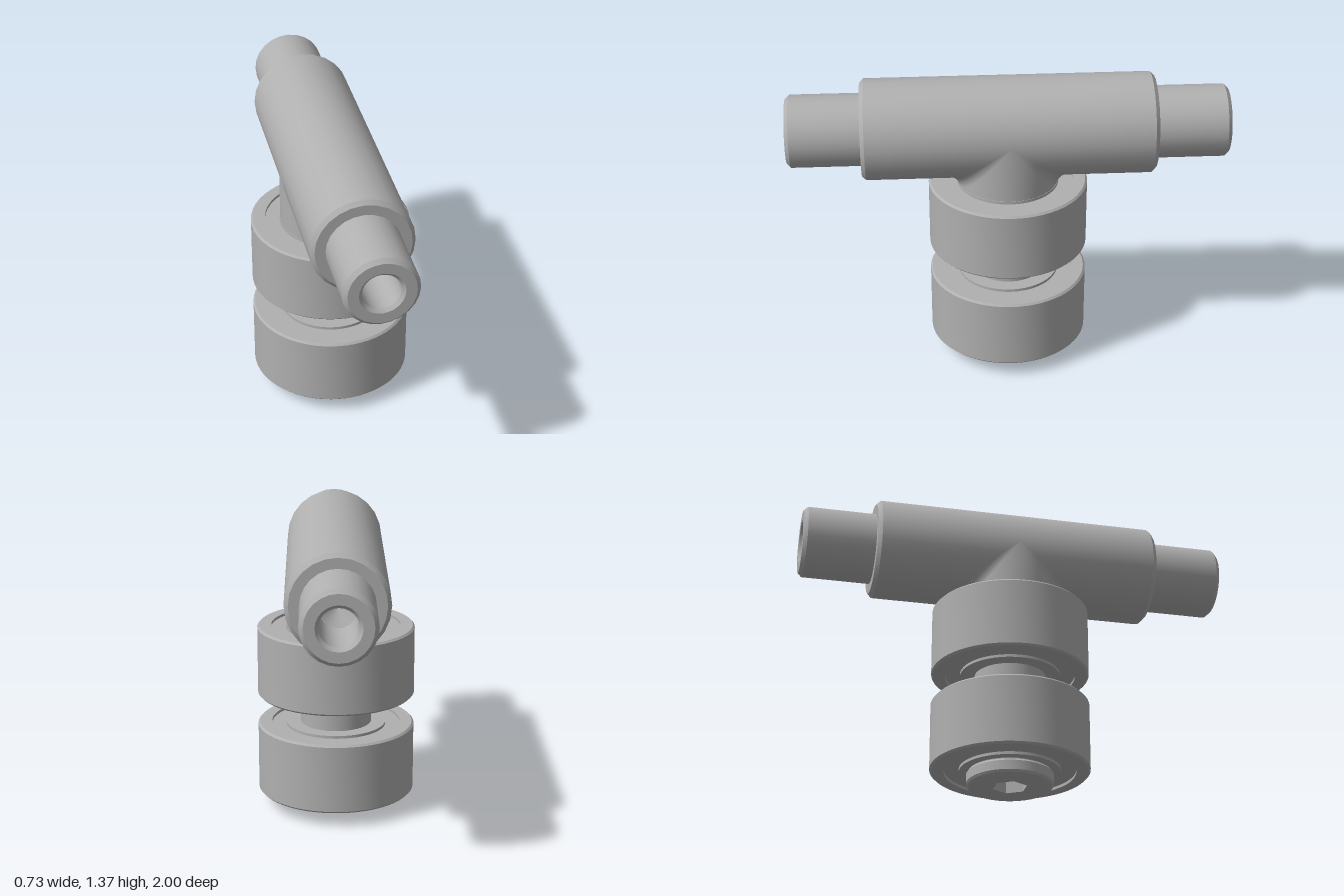
import * as THREE from 'three';
import { toCreasedNormals } from 'three/addons/utils/BufferGeometryUtils.js';

const steel = new THREE.MeshStandardMaterial({ color: 0xb0b0b0 });
steel.name = 'steel grey';

const AXIS_Y = 1.137; // height of the cross tube
const TUBE_R = 0.23;

function addMesh(parent, name, geometry) {
  const mesh = new THREE.Mesh(geometry, steel);
  mesh.name = name;
  parent.add(mesh);
  return mesh;
}

// Turned part from [radius, height] pairs, outer side running upward
function turned(points, segments) {
  const profile = points.map(([r, h]) => new THREE.Vector2(r, h));
  return toCreasedNormals(new THREE.LatheGeometry(profile, segments), 0.5);
}

// Profile of the lower half, mirrored to the upper half
function mirrored(points) {
  return [...points, ...points.slice().reverse().map(([r, h]) => [r, -h])];
}

// Neck whose front and back flare in a fillet against the underside of the tube
function neckGeometry() {
  const around = 64, arcSteps = 8, rows = arcSteps + 2;
  const positions = [], indices = [];
  for (let j = 0; j < rows; j++) {
    for (let i = 0; i < around; i++) {
      const a = (i / around) * Math.PI * 2;
      const c = Math.cos(a), depth = Math.abs(c);
      const f = 0.06 * depth;
      const s = (Math.max(j - 1, 0) / arcSteps) * Math.PI / 2;
      const z = Math.sign(c) * (TUBE_R * depth + f * (1 - Math.cos(s)));
      const y = j === 0 ? 0.84 : AXIS_Y - TUBE_R * depth - f + f * Math.sin(s);
      positions.push(TUBE_R * Math.sin(a), y, z);
    }
  }
  for (let j = 0; j < rows - 1; j++) {
    for (let i = 0; i < around; i++) {
      const k = (i + 1) % around;
      const a = j * around + i, b = j * around + k;
      indices.push(a, b, b + around, a, b + around, a + around);
    }
  }
  const g = new THREE.BufferGeometry();
  g.setAttribute('position', new THREE.Float32BufferAttribute(positions, 3));
  g.setIndex(indices);
  g.computeVertexNormals();
  return g;
}

// Ball bearing: outer race, recessed shield and inner race
function makeBearing(name, y) {
  const bearing = new THREE.Group();
  bearing.name = name;
  bearing.position.y = y;
  addMesh(bearing, 'bearingRaces', turned(mirrored([
    [0.15, -0.165], [0.232, -0.165], [0.232, -0.152], [0.3, -0.152],
    [0.3, -0.165], [0.356, -0.165], [0.365, -0.156],
  ]), 64));
  return bearing;
}

// Bolt head with a hexagonal socket in its underside
function makeBoltHead() {
  const head = new THREE.Group();
  head.name = 'boltHead';
  addMesh(head, 'headRim', turned([
    [0.18, 0], [0.192, 0.003], [0.199, 0.013], [0.199, 0.056], [0.19, 0.066], [0.19, 0.072], [0.15, 0.072],
  ], 48));
  const face = new THREE.Shape().absarc(0, 0, 0.18, 0, Math.PI * 2);
  const hex = new THREE.Path();
  hex.setFromPoints(Array.from({ length: 6 }, (_, i) => {
    const a = i * Math.PI / 3;
    return new THREE.Vector2(0.08 * Math.cos(a), 0.08 * Math.sin(a));
  }));
  hex.closePath();
  face.holes.push(hex);
  const plate = new THREE.ExtrudeGeometry(face, { depth: 0.065, bevelEnabled: false, curveSegments: 48 });
  plate.rotateX(Math.PI / 2).translate(0, 0.065, 0);
  addMesh(head, 'socketFace', plate);
  return head;
}

export function createModel() {
  const model = new THREE.Group();
  model.name = 'bearingTee';

  // Cross piece lying along z
  const cross = new THREE.Group();
  cross.name = 'crossPiece';
  cross.position.y = AXIS_Y;
  cross.rotation.x = Math.PI / 2;
  model.add(cross);
  addMesh(cross, 'crossTube', turned(mirrored([
    [0.15, -0.665], [0.212, -0.665], [TUBE_R, -0.647],
  ]), 24));
  // Stub rod with a drilled, countersunk hole at each end
  addMesh(cross, 'stubRod', turned(mirrored([
    [0, -0.65], [0.084, -0.7], [0.084, -0.985], [0.099, -1],
    [0.147, -1], [0.165, -0.982],
  ]), 24));

  addMesh(model, 'neck', neckGeometry());

  // Vertical shaft carrying the two bearings
  addMesh(model, 'shaft', turned([[0, 0.06], [0.165, 0.06], [0.165, 0.86], [0, 0.86]], 48));
  model.add(makeBearing('lowerBearing', 0.235), makeBearing('upperBearing', 0.705));
  model.add(makeBoltHead());
  return model;
}
